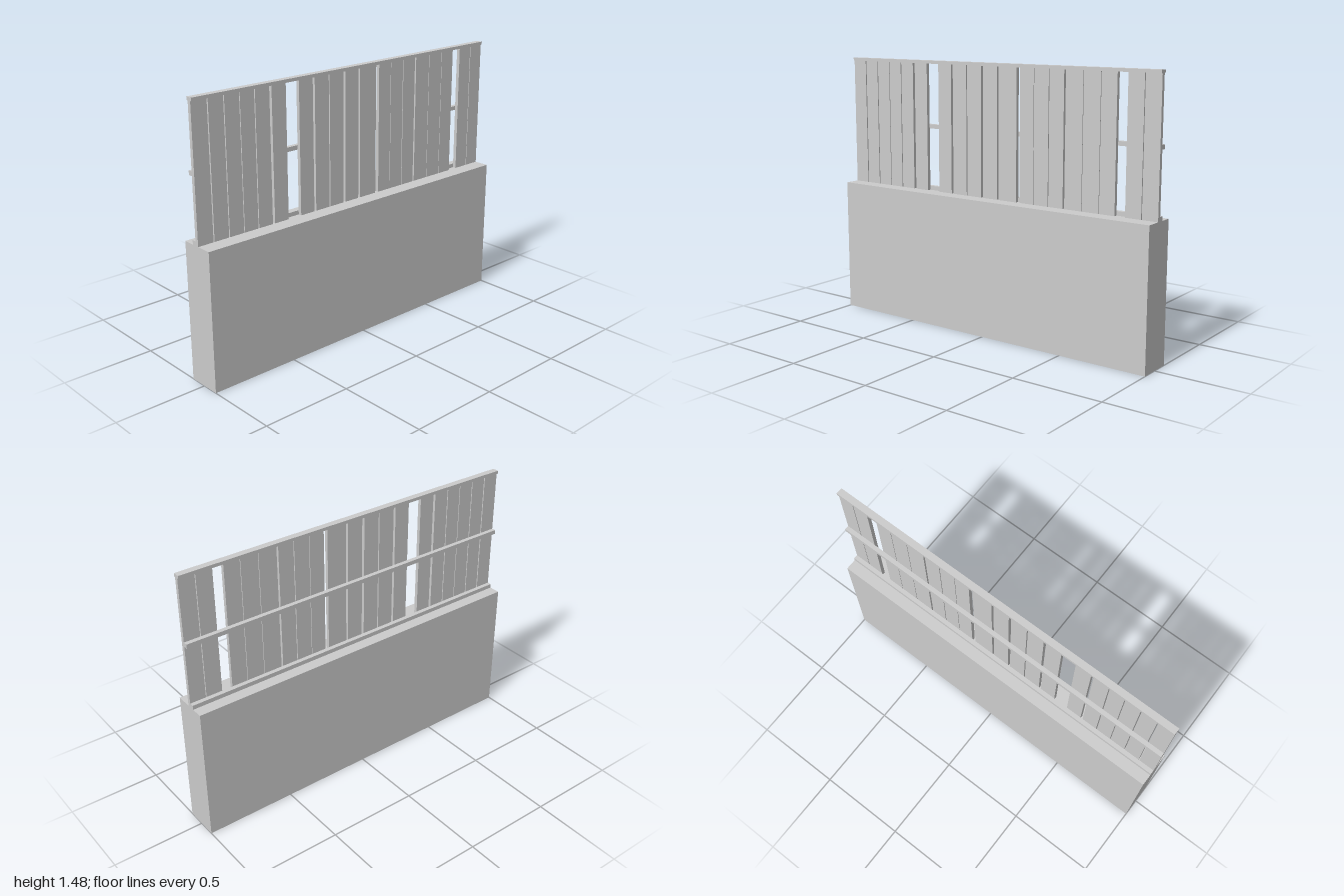
import * as THREE from 'three';

export function createModel() {
  const group = new THREE.Group();
  const material = new THREE.MeshStandardMaterial({ color: 0xcccccc, flatShading: true });
  const shellMaterial = new THREE.MeshStandardMaterial({ color: 0xcccccc, flatShading: true, side: THREE.DoubleSide });

  // Box given by its lower and upper limits on each axis
  function addBox(name, [x0, x1], [y0, y1], [z0, z1], mat = material) {
    const mesh = new THREE.Mesh(new THREE.BoxGeometry(x1 - x0, y1 - y0, z1 - z0), mat);
    mesh.position.set((x0 + x1) / 2, (y0 + y1) / 2, (z0 + z1) / 2);
    mesh.name = name;
    group.add(mesh);
    return mesh;
  }

  // Wall base: a hollow shell, open underneath
  const base = addBox('wallBase', [-1, 1], [0, 0.75], [-0.097, 0.097], shellMaterial);
  const index = Array.from(base.geometry.index.array);
  index.splice(18, 6); // drop the bottom face
  base.geometry.setIndex(index);
  base.geometry.clearGroups();

  // Fence boards as [left edge, right edge], unevenly spaced with two missing
  const boards = [
    [-1, -0.911], [-0.905, -0.819], [-0.814, -0.728], [-0.724, -0.64],
    [-0.635, -0.549], [-0.535, -0.447], [-0.364, -0.275], [-0.262, -0.169],
    [-0.163, -0.07], [-0.056, 0.036], [0.048, 0.163], [0.185, 0.271],
    [0.274, 0.363], [0.367, 0.455], [0.465, 0.567], [0.57, 0.668],
    [0.671, 0.76], [0.819, 0.908], [0.912, 1],
  ];
  boards.forEach((span, i) => addBox(`board${i + 1}`, span, [0.75, 1.46], [-0.009, 0.011]));

  // Rails behind the boards and the cap along the top
  addBox('lowerRail', [-1, 1], [0.75, 0.773], [-0.033, -0.009]);
  addBox('middleRail', [-1, 1], [1.098, 1.121], [-0.033, -0.009]);
  addBox('topCap', [-1, 1], [1.458, 1.475], [-0.018, 0.018]);

  return group;
}
